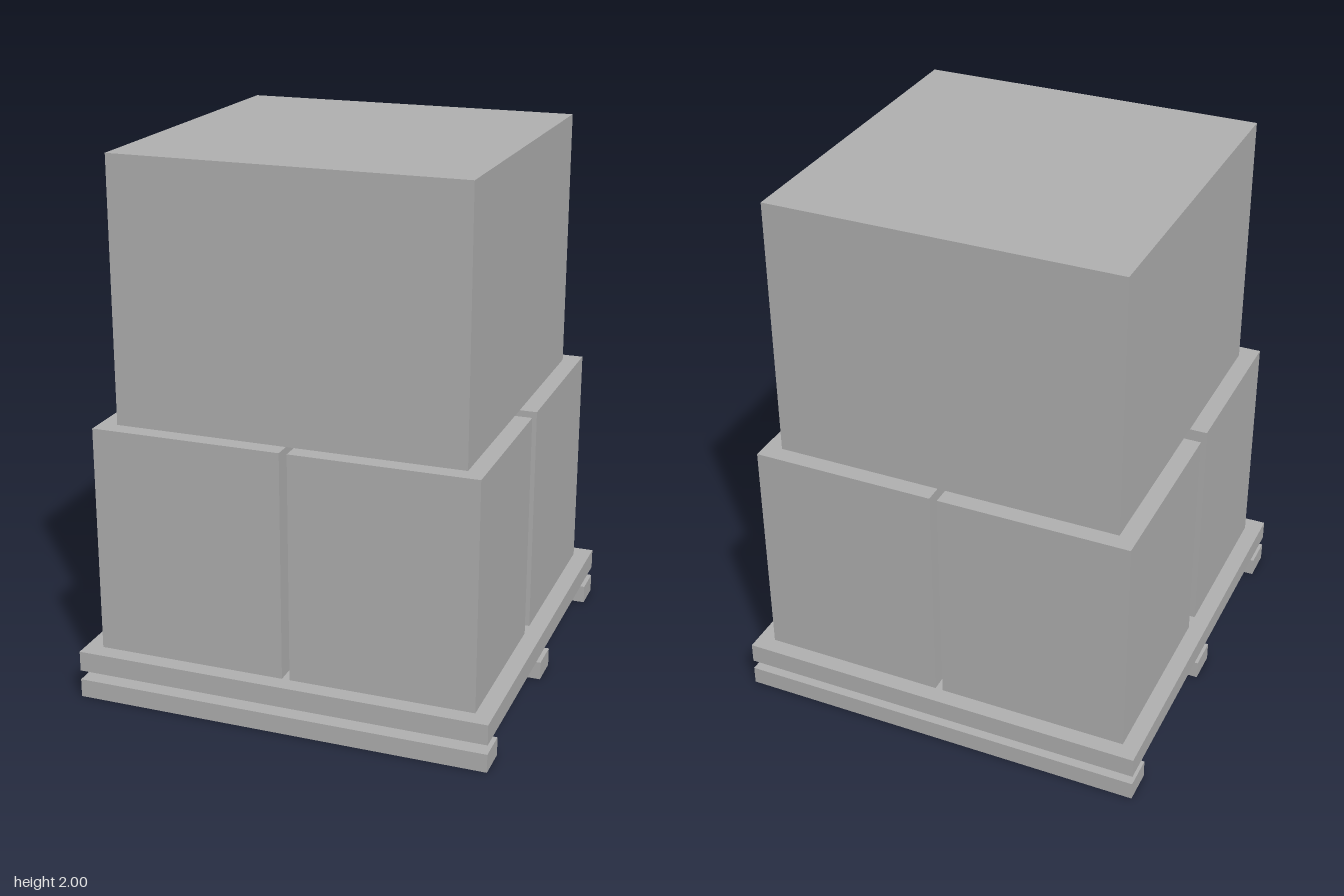
import * as THREE from 'three';

export function createModel() {
  const group = new THREE.Group();
  const grey = new THREE.MeshStandardMaterial({ color: 0xb2b2b2 });
  grey.name = 'plain grey';

  // Adds a box spanning the given [min, max] range on each axis
  function addBox(name, [x0, x1], [y0, y1], [z0, z1]) {
    const mesh = new THREE.Mesh(new THREE.BoxGeometry(x1 - x0, y1 - y0, z1 - z0), grey);
    mesh.position.set((x0 + x1) / 2, (y0 + y1) / 2, (z0 + z1) / 2);
    mesh.name = name;
    group.add(mesh);
  }

  // Pallet: three runners below a flat deck
  const half = 0.773;
  const runner = 0.125;
  for (const z of [-half + runner / 2, 0, half - runner / 2]) {
    addBox('palletRunner', [-half, half], [0, 0.069], [z - runner / 2, z + runner / 2]);
  }
  addBox('palletDeck', [-half, half], [0.105, 0.181], [-half, half]);

  // Lower layer: four crates with narrow gaps between them
  for (const x of [[-0.71, -0.002], [0.027, 0.709]]) {
    for (const z of [[-0.71, -0.001], [0.065, 0.709]]) {
      addBox('lowerCrate', x, [0.181, 1.032], z);
    }
  }

  // One large crate on top
  addBox('upperCrate', [-0.645, 0.645], [1.032, 2], [-0.645, 0.645]);

  return group;
}
